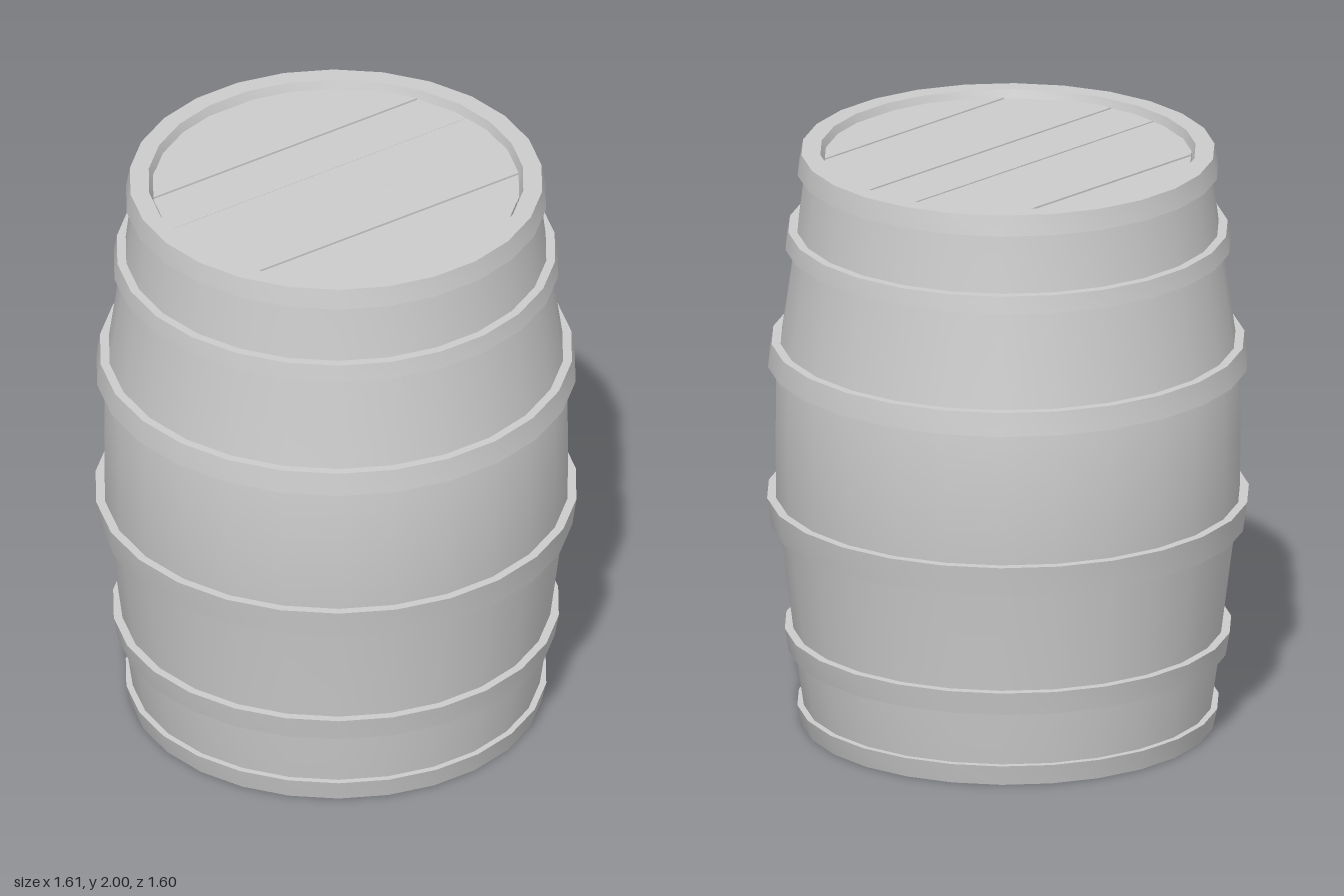
import * as THREE from 'three';
import { toCreasedNormals } from 'three/addons/utils/BufferGeometryUtils.js';

const SIDES = 26;
const material = new THREE.MeshStandardMaterial({ color: 0xcccccc });

// Revolve [radius, y] pairs, with a corner of the polygon on the x axis.
function revolve(name, profile) {
  const points = profile.map(([r, y]) => new THREE.Vector2(r, y));
  const lathe = new THREE.LatheGeometry(points, SIDES, Math.PI / 2);
  const mesh = new THREE.Mesh(toCreasedNormals(lathe, 0.5), material);
  mesh.name = name;
  return mesh;
}

// Right-hand outline of the lid polygon, from back to front, as [x, z].
const LID_RADIUS = 0.613;
const rim = [];
for (let k = -6; k <= 6; k++) {
  const a = (k * 2 * Math.PI) / SIDES;
  rim.push([LID_RADIUS * Math.cos(a), LID_RADIUS * Math.sin(a)]);
}
function halfWidth(z) {
  for (let i = 1; i < rim.length; i++) {
    const [xa, za] = rim[i - 1], [xb, zb] = rim[i];
    if (z <= zb) return xa + ((xb - xa) * (z - za)) / (zb - za);
  }
  return rim[rim.length - 1][0];
}

// Lid board between two z positions, trimmed to the round opening.
function plank(z0, z1, bottom, top) {
  const right = [
    [halfWidth(z0), z0],
    ...rim.filter(([, z]) => z > z0 + 1e-4 && z < z1 - 1e-4),
    [halfWidth(z1), z1],
  ];
  const left = right.map(([x, z]) => [-x, z]).reverse();
  const shape = new THREE.Shape([...right, ...left].map(([x, z]) => new THREE.Vector2(x, -z)));
  const geometry = new THREE.ExtrudeGeometry(shape, { depth: top - bottom, bevelEnabled: false });
  geometry.rotateX(-Math.PI / 2);
  geometry.translate(0, bottom, 0);
  const mesh = new THREE.Mesh(geometry, material);
  mesh.name = 'lidPlank';
  return mesh;
}

export function createModel() {
  const barrel = new THREE.Group();
  barrel.name = 'barrel';

  // Bulging body with a closed bottom, raised rim and recessed lid bed
  barrel.add(revolve('body', [
    [0, 0], [0.672, 0], [0.71, 0.26], [0.717, 0.34], [0.763, 0.7], [0.775, 0.8],
    [0.777, 1], [0.774, 1.26], [0.76, 1.34], [0.713, 1.67], [0.704, 1.73],
    [0.672, 2], [0.627, 2], [0.613, 1.95], [0, 1.95],
  ]));

  // Hoops: bottom y, bottom radius, top y, top radius, inner radius
  const hoops = [
    [0, 0.688, 0.07, 0.704, 0.672],
    [0.26, 0.732, 0.34, 0.746, 0.7],
    [0.7, 0.791, 0.8, 0.805, 0.75],
    [1.26, 0.802, 1.34, 0.79, 0.75],
    [1.67, 0.744, 1.73, 0.734, 0.69],
    [1.93, 0.703, 2, 0.69, 0.672],
  ];
  for (const [y0, r0, y1, r1, inner] of hoops) {
    barrel.add(revolve('hoop', [[inner, y0], [r0, y0], [r1, y1], [inner, y1]]));
  }

  // Lid boards with narrow gaps and slightly uneven heights
  const lid = new THREE.Group();
  lid.name = 'lid';
  const seams = [-0.607, -0.432, -0.29, -0.098, 0.094, 0.288, 0.426, 0.607];
  const tops = [1.972, 1.976, 1.972, 1.974, 1.977, 1.973, 1.976];
  const gap = 0.002;
  tops.forEach((top, i) => {
    lid.add(plank(seams[i] + gap, seams[i + 1] - gap, 1.95, top));
  });
  barrel.add(lid);

  return barrel;
}
